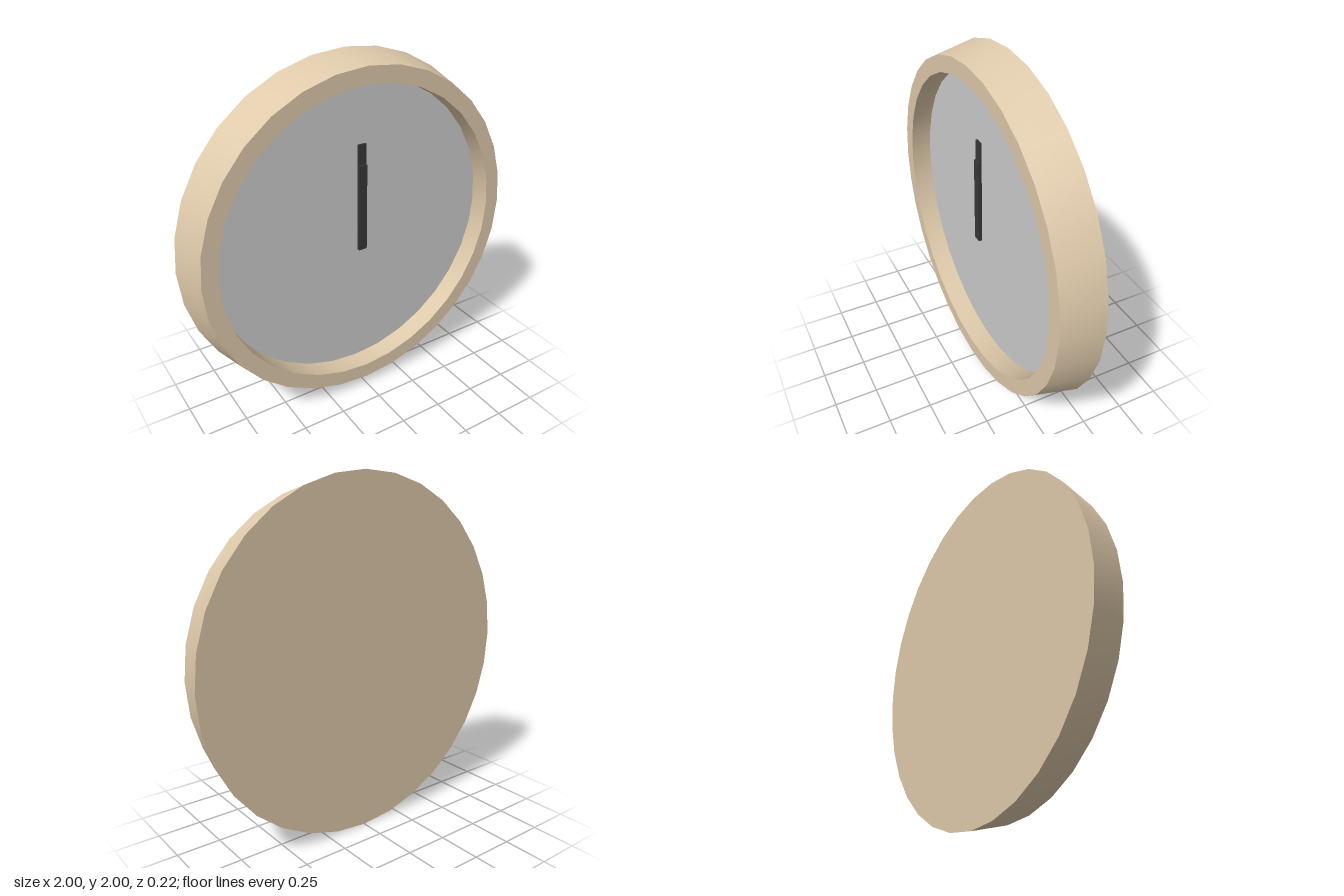
import * as THREE from 'three';
import { toCreasedNormals } from 'three/addons/utils/BufferGeometryUtils.js';

const SIDES = 32;
const FACE_Z = -0.01;

function addPart(group, name, geometry, color) {
  const mesh = new THREE.Mesh(geometry, new THREE.MeshStandardMaterial({ color }));
  mesh.name = name;
  group.add(mesh);
  return mesh;
}

export function createModel() {
  const clock = new THREE.Group();
  clock.name = 'wallClock';

  // Case: closed back, tapered outer wall, flat front rim and inner wall
  const profile = [[0, -0.11], [1, -0.11], [0.95, 0.11], [0.86, 0.11], [0.86, FACE_Z]]
    .map(([r, h]) => new THREE.Vector2(r, h));
  const caseGeometry = toCreasedNormals(new THREE.LatheGeometry(profile, SIDES), 0.6);
  caseGeometry.rotateX(Math.PI / 2);
  addPart(clock, 'case', caseGeometry, 0xdec9aa).position.y = 1;

  // Recessed dial
  addPart(clock, 'dial', new THREE.CircleGeometry(0.86, SIDES), 0xcccccc)
    .position.set(0, 1, FACE_Z);

  // Hands, both pointing straight up, the shorter one in front
  const hands = [['minuteHand', 1.535, 0.05], ['hourHand', 1.42, 0.06]];
  for (const [name, top, z] of hands) {
    const bottom = 0.92;
    addPart(clock, name, new THREE.BoxGeometry(0.05, top - bottom, 0.01), 0x373737)
      .position.set(0, (top + bottom) / 2, z);
  }

  return clock;
}
